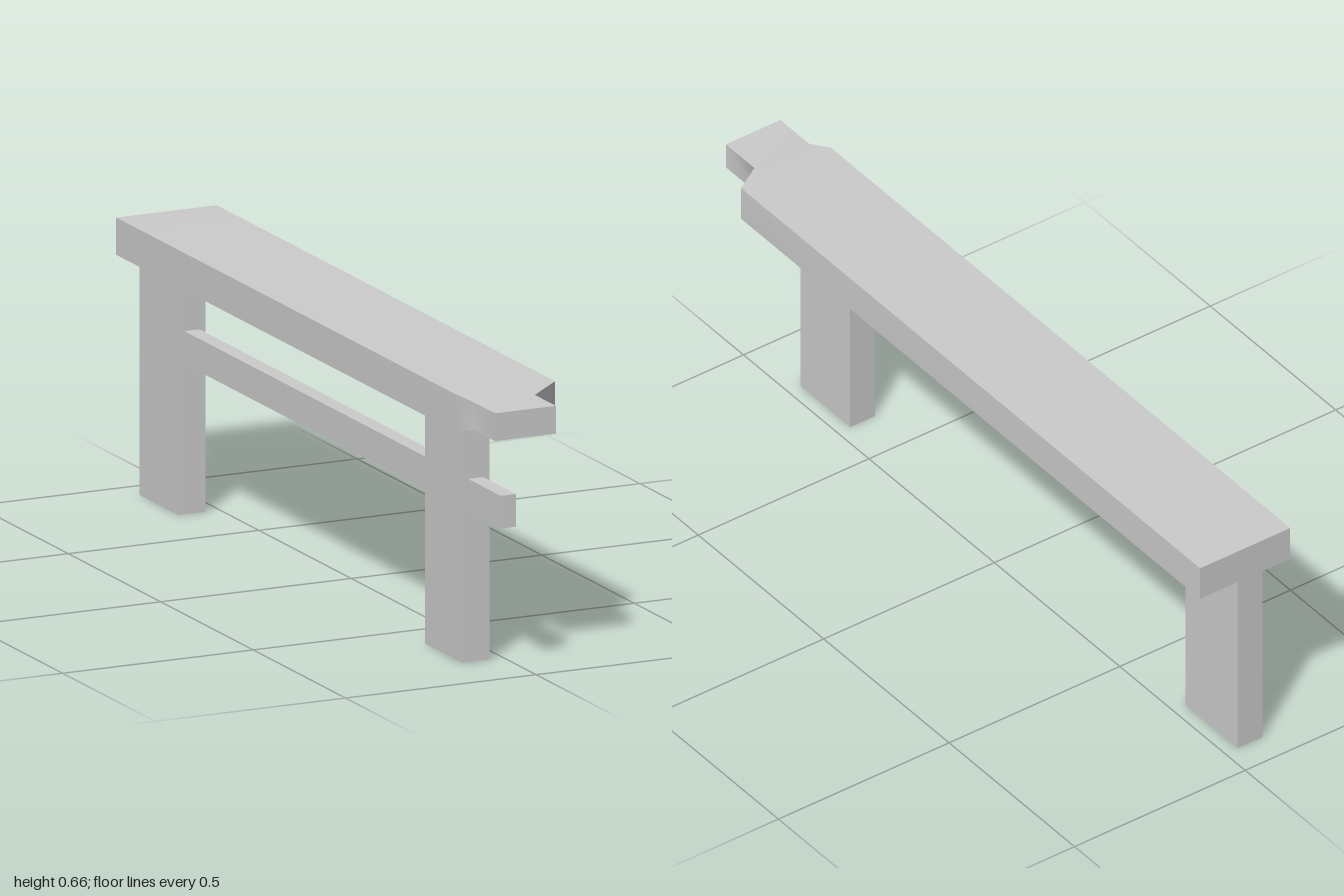
import * as THREE from 'three';

const material = new THREE.MeshStandardMaterial({ color: 0xcccccc });

// Box given by its minimum and maximum on each axis
function addBox(group, name, [x0, x1], [y0, y1], [z0, z1]) {
  const mesh = new THREE.Mesh(new THREE.BoxGeometry(x1 - x0, y1 - y0, z1 - z0), material);
  mesh.position.set((x0 + x1) / 2, (y0 + y1) / 2, (z0 + z1) / 2);
  mesh.name = name;
  group.add(mesh);
}

// Rectangular sections along z: each of the four sides is shaded smoothly along
// its length, with sharp edges between the sides and at the end caps
function loftPlank(sections) {
  const positions = [], index = [];
  const corners = sections.map(({ z, x: [x0, x1], y: [y0, y1] }) =>
    [[x0, y0, z], [x1, y0, z], [x1, y1, z], [x0, y1, z]]);
  for (let side = 0; side < 4; side++) {
    const base = positions.length / 3;
    corners.forEach((c, i) => {
      positions.push(...c[side], ...c[(side + 1) % 4]);
      if (i === 0) return;
      const a = base + 2 * (i - 1);
      index.push(a, a + 1, a + 3, a, a + 3, a + 2);
    });
  }
  const caps = [corners[corners.length - 1], [...corners[0]].reverse()];
  for (const cap of caps) {
    const b = positions.length / 3;
    positions.push(...cap.flat());
    index.push(b, b + 1, b + 2, b, b + 2, b + 3);
  }
  const geometry = new THREE.BufferGeometry();
  geometry.setAttribute('position', new THREE.Float32BufferAttribute(positions, 3));
  geometry.setIndex(index);
  geometry.computeVertexNormals();
  return geometry;
}

export function createModel() {
  const bench = new THREE.Group();
  bench.name = 'bench';

  // Seat plank, narrowing to an off-centre tongue at the front
  const seat = new THREE.Mesh(loftPlank([
    { z: -1, x: [-0.132, 0.132], y: [0.57, 0.661] },
    { z: 0.83, x: [-0.132, 0.132], y: [0.57, 0.661] },
    { z: 0.886, x: [-0.108, 0.052], y: [0.582, 0.65] },
    { z: 1, x: [-0.108, 0.052], y: [0.582, 0.65] },
  ]), material);
  seat.name = 'seat';
  bench.add(seat);

  // Legs
  const legX = [-0.109, -0.037], legY = [0, 0.571];
  addBox(bench, 'frontLeg', legX, legY, [0.625, 0.824]);
  addBox(bench, 'backLeg', legX, legY, [-0.92, -0.711]);

  // Rail passing through the front leg and ending in the back leg
  addBox(bench, 'rail', [-0.093, -0.053], [0.367, 0.447], [-0.73, 1]);

  return bench;
}
